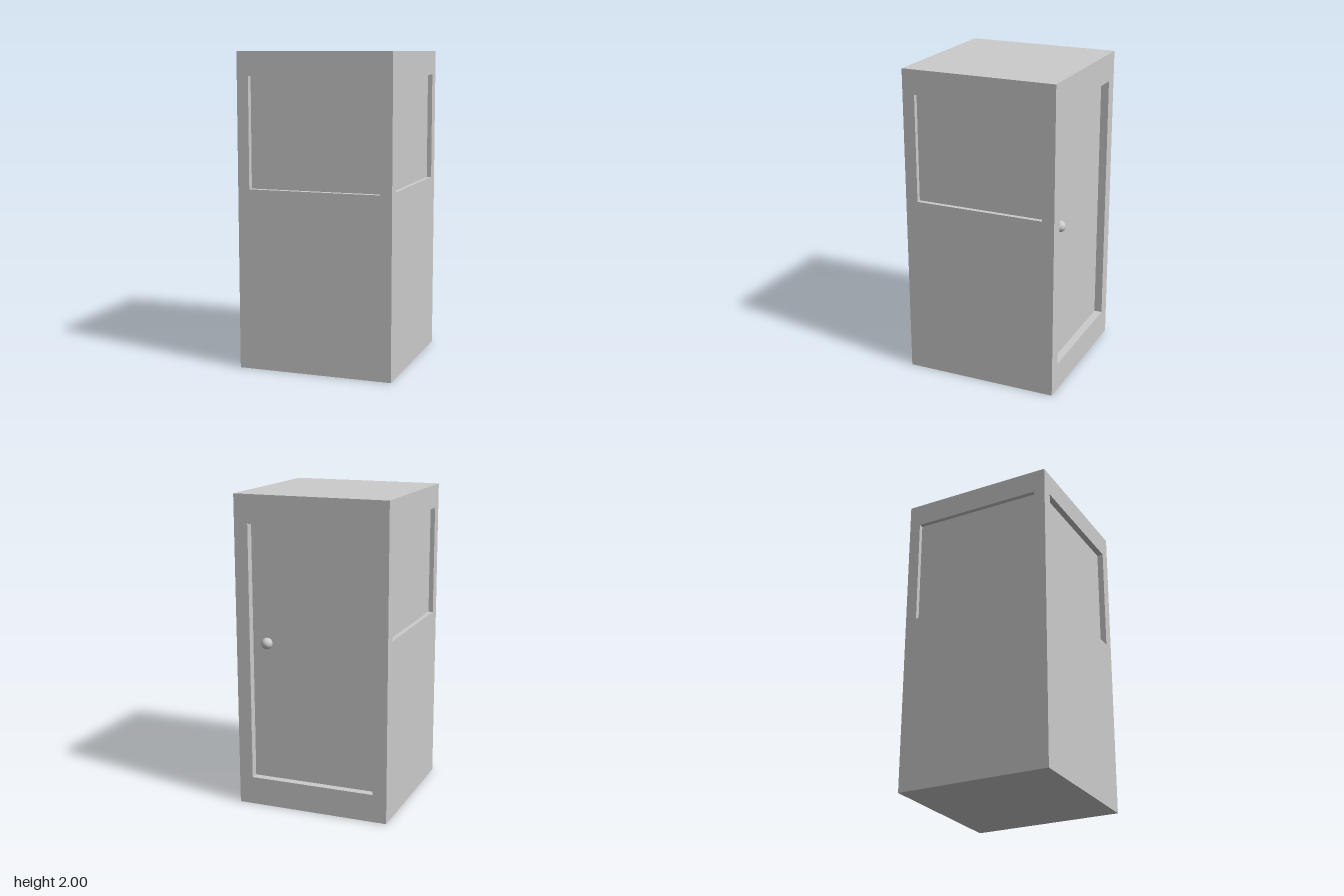
import * as THREE from 'three';

const HALF = 0.5, HEIGHT = 2;
const FRONT = 0.04, BACK = 0.052, SIDE = 0.03; // recess depths

export function createModel() {
  const model = new THREE.Group();
  const material = new THREE.MeshStandardMaterial({ color: 0xcccccc });

  const add = (name, geometry) => {
    const mesh = new THREE.Mesh(geometry, material);
    mesh.name = name;
    model.add(mesh);
    return mesh;
  };

  // Wall with a rectangular opening, its outer face turned by `angle` about y
  function addWall(name, [x0, x1], depth, angle, [halfW, y0, y1]) {
    const wall = new THREE.Shape([
      new THREE.Vector2(x0, 0), new THREE.Vector2(x1, 0),
      new THREE.Vector2(x1, HEIGHT), new THREE.Vector2(x0, HEIGHT),
    ]);
    wall.holes.push(new THREE.Path([
      new THREE.Vector2(-halfW, y0), new THREE.Vector2(-halfW, y1),
      new THREE.Vector2(halfW, y1), new THREE.Vector2(halfW, y0),
    ]));
    const geometry = new THREE.ExtrudeGeometry(wall, { depth, bevelEnabled: false });
    geometry.translate(0, 0, HALF - depth);
    geometry.rotateY(angle);
    add(name, geometry);
  }

  // Core block: its faces are the window panes and the door leaf
  const core = add('panesAndDoor',
    new THREE.BoxGeometry(1 - 2 * SIDE, HEIGHT, 1 - FRONT - BACK));
  core.position.set(0, HEIGHT / 2, (BACK - FRONT) / 2);

  // Front and back walls run full width; side walls fit between them
  const zFront = HALF - FRONT, zBack = -HALF + BACK;
  addWall('frontWall', [-HALF, HALF], FRONT, 0, [0.425, 1.15, 1.85]);
  addWall('backDoorFrame', [-HALF, HALF], BACK, Math.PI, [0.41, 0.18, 1.82]);
  addWall('leftWall', [-zFront, -zBack], SIDE, Math.PI / 2, [0.42, 1.16, 1.845]);
  addWall('rightWall', [zBack, zFront], SIDE, -Math.PI / 2, [0.425, 1.15, 1.85]);

  // Round door knob
  add('doorKnob', new THREE.SphereGeometry(0.036, 32, 20)).position.set(0.31, 1.07, -0.462);

  return model;
}
